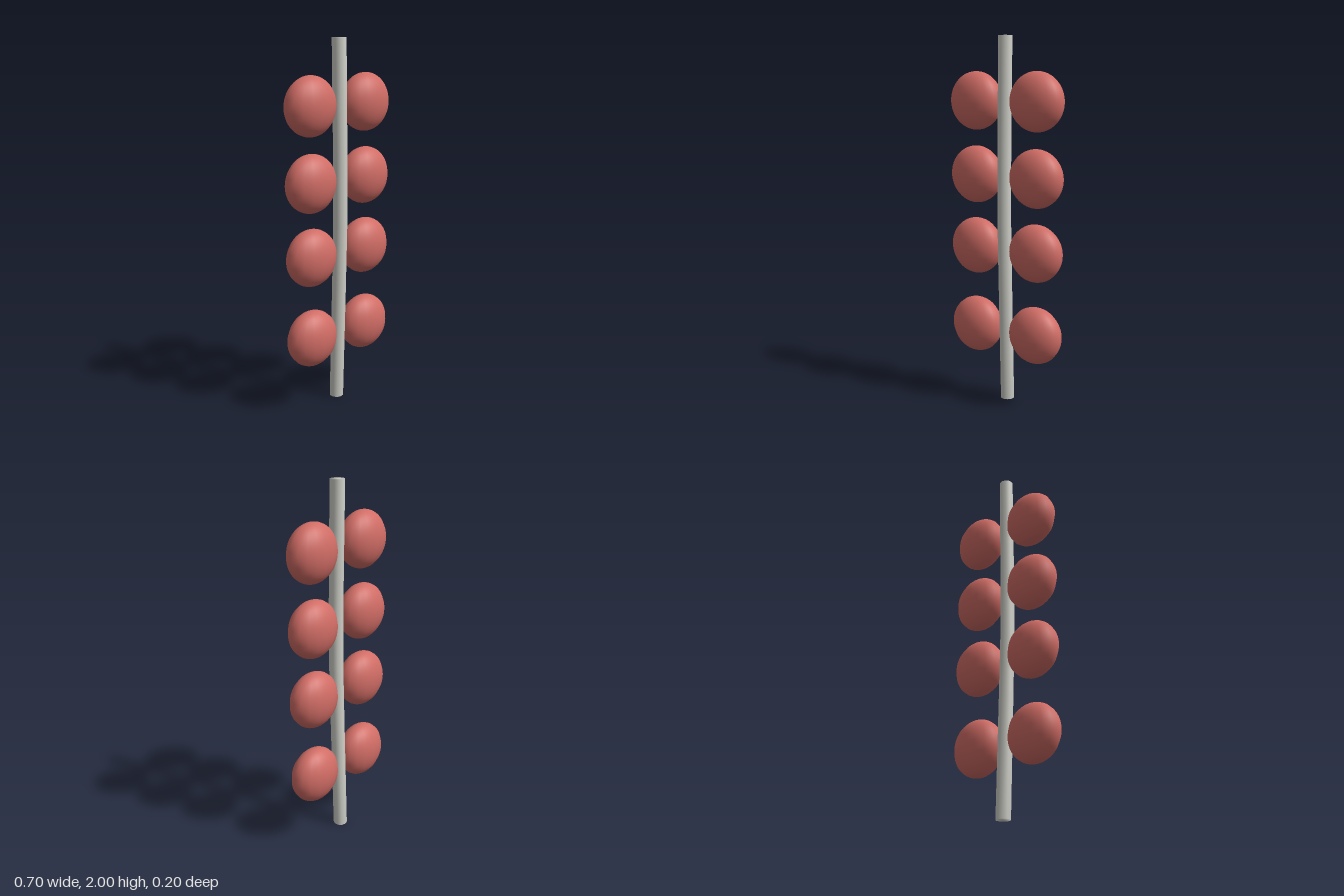
import * as THREE from 'three';
import { mergeVertices } from 'three/addons/utils/BufferGeometryUtils.js';

export function createModel() {
  const group = new THREE.Group();
  const metal = new THREE.MeshStandardMaterial({ color: 0xcfcfc8 });
  metal.name = 'pale grey';
  const red = new THREE.MeshStandardMaterial({ color: 0xd06c65 });
  red.name = 'soft red';

  // Ten-sided pole, bowed slightly forward, with shared smooth normals
  const bow = new THREE.CatmullRomCurve3([
    new THREE.Vector3(0, 0, -0.017),
    new THREE.Vector3(0, 0.5, -0.001),
    new THREE.Vector3(0, 1.08, 0.015),
    new THREE.Vector3(0, 2, 0.005),
  ]);
  let poleGeo = new THREE.CylinderGeometry(0.039, 0.039, 2, 10, 6);
  poleGeo.translate(0, 1, 0);
  const pos = poleGeo.attributes.position;
  for (let i = 0; i < pos.count; i++) {
    const centre = bow.getPointAt(THREE.MathUtils.clamp(pos.getY(i) / 2, 0, 1));
    pos.setZ(i, pos.getZ(i) + centre.z);
  }
  poleGeo.deleteAttribute('normal');
  poleGeo.deleteAttribute('uv');
  poleGeo = mergeVertices(poleGeo);
  poleGeo.computeVertexNormals();
  const pole = new THREE.Mesh(poleGeo, metal);
  pole.name = 'pole';
  group.add(pole);

  // Four mirrored pairs of flattened discs
  const discGeo = new THREE.SphereGeometry(0.157, 16, 32);
  discGeo.scale(1, 1, 0.645);
  [0.405, 0.86, 1.26, 1.66].forEach((y, i) => {
    for (const side of [-1, 1]) {
      const disc = new THREE.Mesh(discGeo, red);
      disc.name = `${side > 0 ? 'left' : 'right'}Disc${i + 1}`;
      disc.position.set(side * 0.195, y, 0);
      group.add(disc);
    }
  });

  return group;
}
